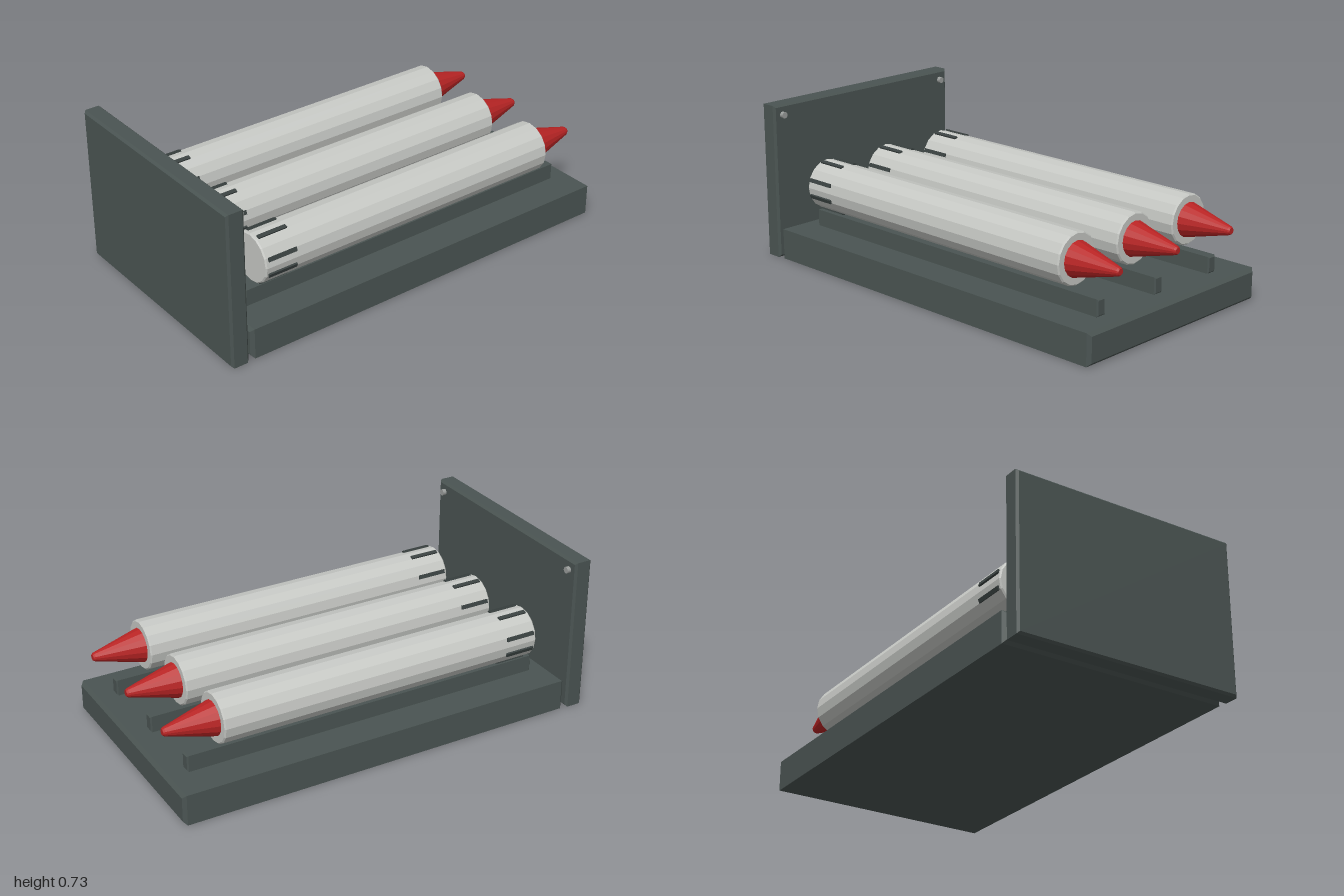
import * as THREE from 'three';

const paint = (name, color) => {
  const m = new THREE.MeshStandardMaterial({ color });
  m.name = name;
  return m;
};

// Box with chamfered edges, centred on its own middle
function chamferBox(w, h, d, c) {
  const x = w / 2 - c, y = h / 2 - c;
  const shape = new THREE.Shape([
    [-x, -y], [x, -y], [x, y], [-x, y],
  ].map(([a, b]) => new THREE.Vector2(a, b)));
  const geo = new THREE.ExtrudeGeometry(shape, {
    depth: d - 2 * c, bevelEnabled: true, bevelThickness: c, bevelSize: c, bevelSegments: 1,
  });
  return geo.translate(0, 0, -d / 2 + c);
}

// Faceted round body along z; profile is [radius, z] from back (-z) to front
function turned(profile, sides) {
  const geo = new THREE.LatheGeometry(profile.map(([r, z]) => new THREE.Vector2(r, z)), sides).rotateX(Math.PI / 2);
  const flat = geo.toNonIndexed();
  flat.computeVertexNormals();
  return flat;
}

export function createModel() {
  const model = new THREE.Group();
  const slate = paint('slate grey', 0x4a5452);
  const dark = paint('dark grey', 0x3a4241);
  const white = paint('pale grey', 0xc6c8c4);
  const red = paint('red', 0xb82424);
  const steel = paint('bolt steel', 0x9a9d9b);

  const add = (parent, name, geo, mat, x, y, z) => {
    const mesh = new THREE.Mesh(geo, mat);
    mesh.name = name;
    mesh.position.set(x, y, z);
    parent.add(mesh);
    return mesh;
  };

  // Base slab and upright front plate
  add(model, 'base', chamferBox(1.08, 0.143, 1.9, 0.015), slate, 0, 0.0735, -0.05);
  add(model, 'frontPlate', chamferBox(1.086, 0.725, 0.085, 0.01), slate, 0, 0.3625, 0.9575);

  // Bolts on the inner side of the plate
  const bolt = new THREE.CylinderGeometry(0.015, 0.015, 0.03, 10).rotateX(Math.PI / 2);
  for (const s of [-1, 1]) add(model, 'bolt', bolt, steel, s * 0.495, 0.678, 0.912);

  const rail = chamferBox(0.048, 0.076, 1.725, 0.006);
  const tube = turned([
    [0, -0.772], [0.109, -0.772], [0.115, -0.766], [0.115, 0.769], [0.109, 0.775], [0, 0.775],
  ], 16);
  const nose = turned([[0, -1], [0.014, -1], [0.02, -0.992], [0.079, -0.772], [0, -0.76]], 16);
  const strip = new THREE.BoxGeometry(0.018, 0.014, 0.14);

  // Three tubes, each above its own rail
  for (const x of [-0.36, 0, 0.36]) {
    const unit = new THREE.Group();
    unit.name = 'tubeUnit';
    unit.position.set(x, 0.355, 0);
    model.add(unit);
    add(unit, 'rail', rail, slate, 0, -0.172, -0.0425);
    add(unit, 'tube', tube, white, 0, 0, 0);
    add(unit, 'noseCone', nose, red, 0, 0, 0);
    // Eight vent strips around the tail, in four pairs
    for (let k = 0; k < 4; k++) {
      for (const s of [-1, 1]) {
        const a = k * Math.PI / 2 + s * 0.33;
        const vent = add(unit, 'ventStrip', strip, dark, 0.114 * Math.sin(a), 0.114 * Math.cos(a), 0.69);
        vent.rotation.z = -a;
      }
    }
  }
  return model;
}
